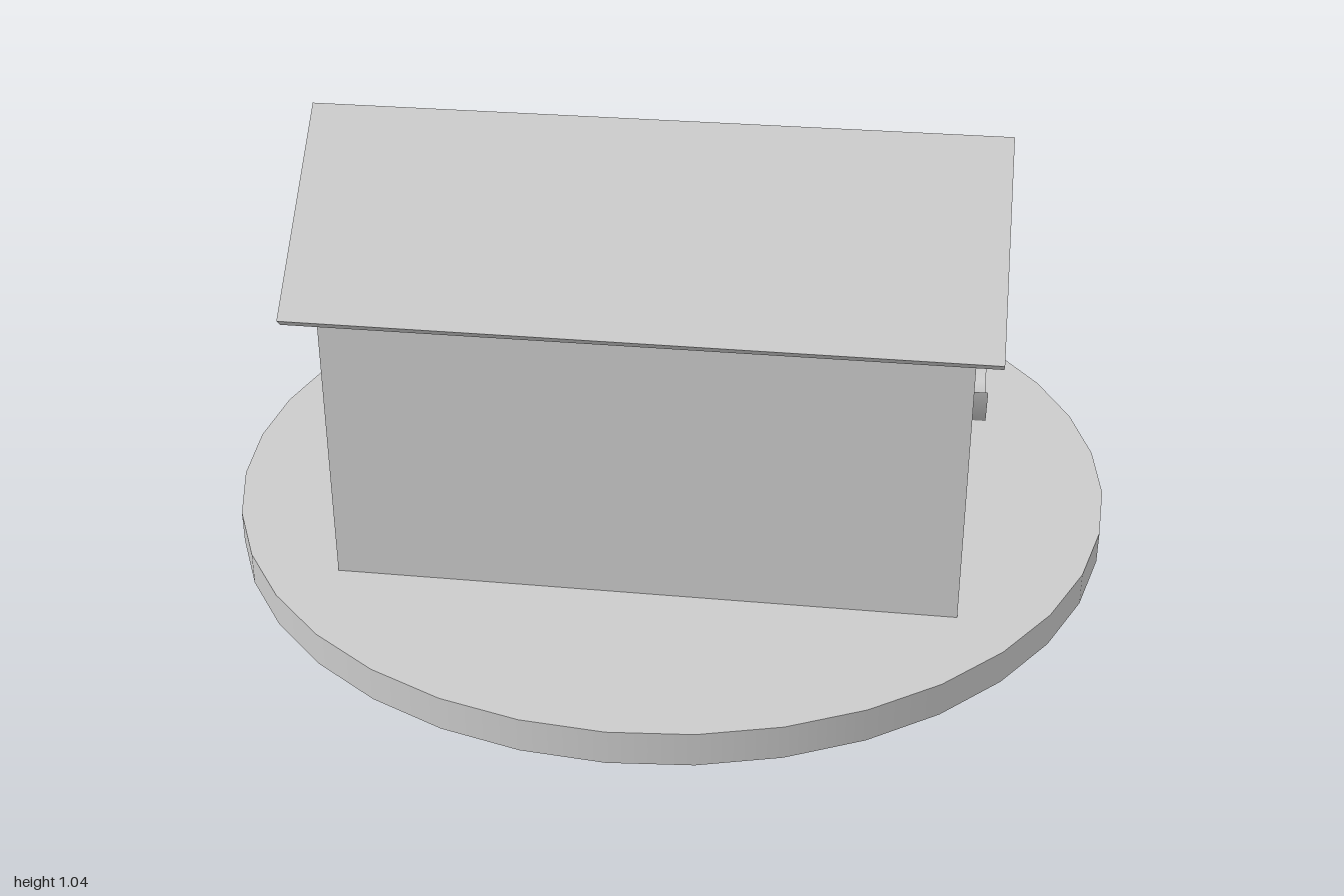
import * as THREE from 'three';
import { toCreasedNormals } from 'three/addons/utils/BufferGeometryUtils.js';

export function createModel() {
  const model = new THREE.Group();
  const smooth = new THREE.MeshStandardMaterial({ color: 0xcccccc });
  const flat = new THREE.MeshStandardMaterial({ color: 0xcccccc, flatShading: true });

  const add = (name, geometry, material, x = 0, y = 0, z = 0) => {
    const mesh = new THREE.Mesh(geometry, material);
    mesh.name = name;
    mesh.position.set(x, y, z);
    model.add(mesh);
    return mesh;
  };

  // Prism along x from a closed [z, y] outline
  const prism = (outline, x0, x1) => {
    const shape = new THREE.Shape(outline.map(([z, y]) => new THREE.Vector2(-z, y)));
    const g = new THREE.ExtrudeGeometry(shape, { depth: x1 - x0, bevelEnabled: false });
    return g.rotateY(Math.PI / 2).translate(x0, 0, 0);
  };

  // Round ground disc
  add('base', new THREE.CylinderGeometry(1, 1, 0.075, 36), smooth, 0, 0.0375, 0);

  // Mill house with gabled ends
  const ridge = 0.235;
  add('house', prism([
    [0.535, 0.075], [0.535, 0.71], [ridge, 0.995], [-0.075, 0.7], [-0.075, 0.075],
  ], -0.66, 0.672), flat);

  // Folded roof sheet overhanging on all sides
  add('roof', prism([
    [ridge, 1.04], [0.585, 0.706], [0.564, 0.687], [ridge, 0.997],
    [-0.09, 0.69], [-0.115, 0.712],
  ], -0.727, 0.725), flat);

  // Hexagonal axle from the back wall to the post
  const axleY = 0.457;
  const axle = new THREE.CylinderGeometry(0.029, 0.029, 0.51, 6);
  axle.rotateY(Math.PI / 2).rotateX(Math.PI / 2);
  add('axle', axle, smooth, 0, axleY, -0.328);

  // Three octagonal wheel discs with rims tapering to an edge
  const discProfile = [
    [0, -0.017], [0.22, -0.017], [0.31, 0], [0.22, 0.017], [0, 0.017],
  ].map(([r, h]) => new THREE.Vector2(r, h));
  const disc = new THREE.LatheGeometry(discProfile, 8).rotateX(Math.PI / 2);
  [-0.33, -0.385, -0.44].forEach((z, i) => add(`wheelDisc${i + 1}`, disc, flat, 0, 0.452, z));

  // Post carrying the outer end of the axle
  add('post', new THREE.BoxGeometry(0.145, 0.54, 0.06), flat, 0, 0.345, -0.605);

  // Water trough with flared sides, open at both ends
  const half = [[0.117, 0.17], [0.07, 0.098]];
  const troughOutline = [
    [0.089, 0.075], ...half,
    ...half.slice().reverse().map(([z, y]) => [-z, y]), [-0.089, 0.075],
  ].map(([z, y]) => [z - 0.381, y]);
  add('trough', toCreasedNormals(prism(troughOutline, -0.735, 0.735), 1.3), smooth);

  return model;
}
